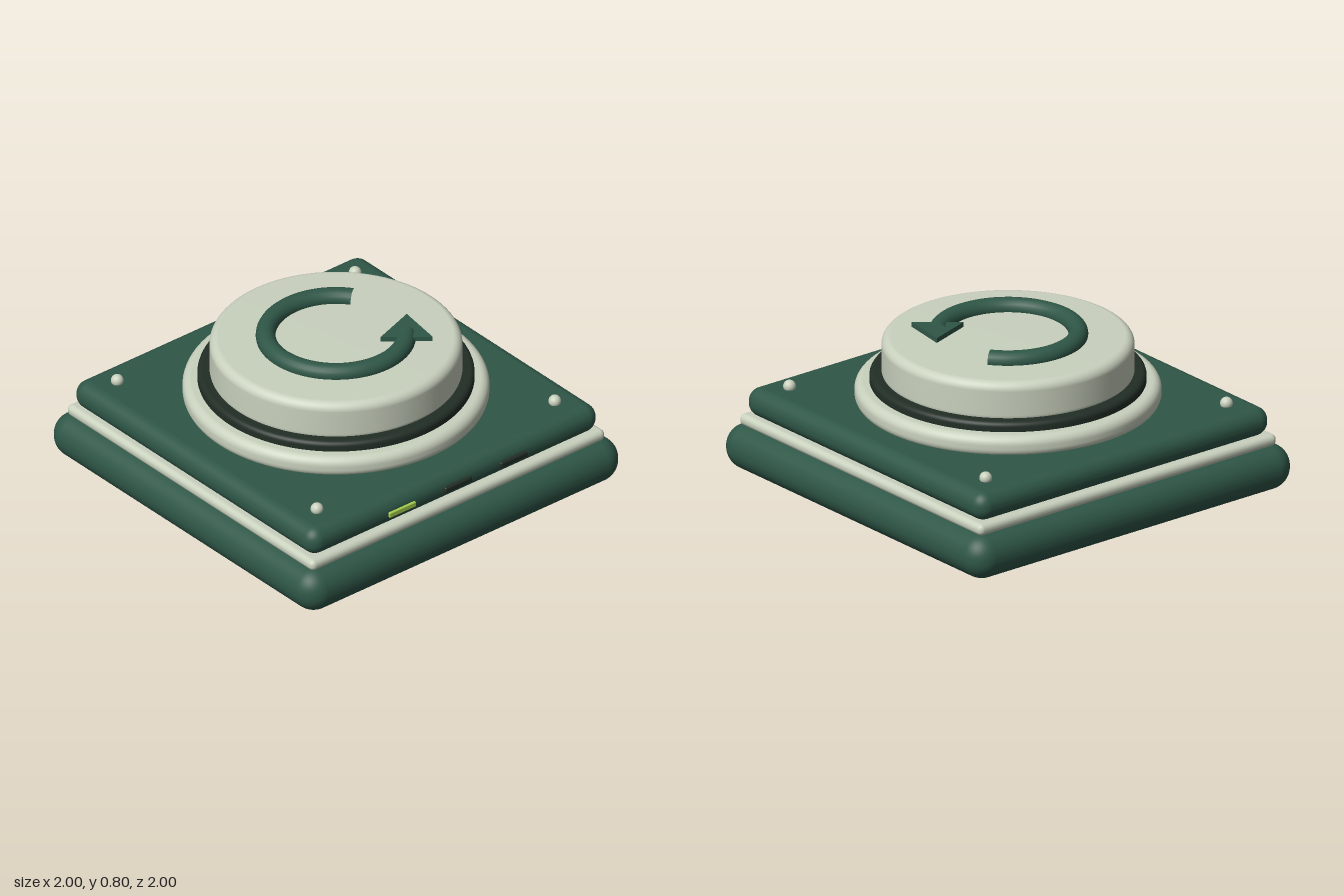
import * as THREE from 'three';
import { RoundedBoxGeometry } from 'three/addons/geometries/RoundedBoxGeometry.js';

const material = (name, color) => {
  const m = new THREE.MeshStandardMaterial({ color });
  m.name = name;
  return m;
};

export function createModel() {
  const group = new THREE.Group();
  const green = material('deep green', 0x2f5748);
  const cream = material('pale cream', 0xc9d1be);
  const dark = material('near black green', 0x222e26);
  const lime = material('lime', 0xa6d04c);

  const add = (name, geometry, mat, x = 0, y = 0, z = 0) => {
    const mesh = new THREE.Mesh(geometry, mat);
    mesh.name = name;
    mesh.position.set(x, y, z);
    group.add(mesh);
    return mesh;
  };

  // Square rounded slab between two heights
  const slab = (name, half, y0, y1, radius, mat) =>
    add(name, new RoundedBoxGeometry(half * 2, y1 - y0, half * 2, 8, radius), mat, 0, (y0 + y1) / 2, 0);

  // Round disc with rounded top and bottom rims
  const disc = (name, r, y0, y1, bevel, mat) => {
    const points = [new THREE.Vector2(0, y0)];
    const arc = (cy, from) => {
      for (let i = 0; i <= 8; i++) {
        const a = from + (i / 8) * Math.PI / 2;
        points.push(new THREE.Vector2(r - bevel + Math.cos(a) * bevel, cy + Math.sin(a) * bevel));
      }
    };
    arc(y0 + bevel, -Math.PI / 2);
    arc(y1 - bevel, 0);
    points.push(new THREE.Vector2(0, y1));
    return add(name, new THREE.LatheGeometry(points, 96), mat);
  };

  // Stacked square body
  slab('base', 1, 0, 0.23, 0.112, green);
  slab('trimBand', 0.927, 0.222, 0.282, 0.028, cream);
  slab('upperBody', 0.91, 0.275, 0.422, 0.07, green);

  // Stacked round button
  disc('collar', 0.742, 0.405, 0.514, 0.045, cream);
  disc('gasket', 0.67, 0.49, 0.562, 0.025, dark);
  disc('button', 0.612, 0.53, 0.744, 0.045, cream);

  // Curved arrow on the button
  const ring = new THREE.TorusGeometry(0.34, 0.048, 20, 80, THREE.MathUtils.degToRad(284));
  ring.rotateZ(THREE.MathUtils.degToRad(36)).rotateX(-Math.PI / 2);
  add('arrowRing', ring, green, 0, 0.754, 0);

  const head = new THREE.Shape();
  head.moveTo(0.352, -0.112);
  head.lineTo(0.122, -0.19);
  head.lineTo(0.316, -0.35);
  head.closePath();
  const headGeometry = new THREE.ExtrudeGeometry(head, { depth: 0.025, bevelEnabled: false });
  headGeometry.rotateX(-Math.PI / 2);
  add('arrowHead', headGeometry, green, 0, 0.76, 0);

  // Corner studs
  for (const x of [-0.75, 0.75]) {
    for (const z of [-0.75, 0.75]) {
      add('cornerStud', new THREE.SphereGeometry(0.031, 24, 16), cream, x, 0.435, z);
    }
  }

  // Front indicator light and slots
  add('indicatorLight', new RoundedBoxGeometry(0.166, 0.028, 0.03, 3, 0.005), lime, -0.35, 0.346, 0.907);
  for (const x of [0, 0.35]) {
    add('frontSlot', new RoundedBoxGeometry(0.17, 0.032, 0.034, 4, 0.01), dark, x, 0.346, 0.909);
  }

  return group;
}
